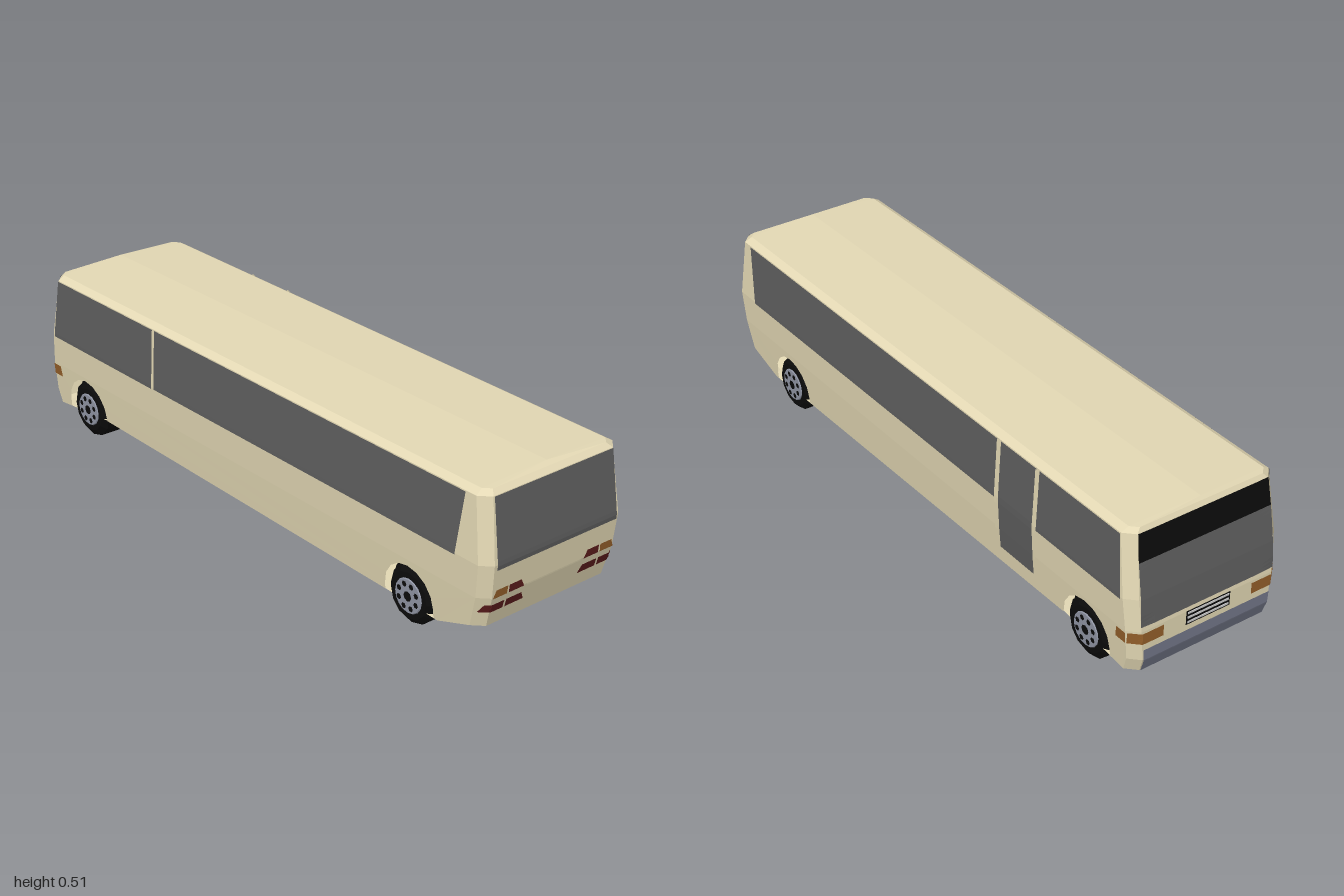
import * as THREE from 'three';

const paint = (color, extra = {}) => new THREE.MeshStandardMaterial({ color, flatShading: true, side: THREE.DoubleSide, ...extra });

// Hull levels: height, front x, rear x, half width, corner chamfer
const LEVELS = [
  { y: 0.06, f: -0.985, r: 0.84, z: 0.24, c: 0.03 },
  { y: 0.105, f: -1, r: 0.965, z: 0.244, c: 0.03 },
  { y: 0.2, f: -1, r: 0.99, z: 0.252, c: 0.03 },
  { y: 0.3, f: -0.99, r: 1, z: 0.257, c: 0.03 },
  { y: 0.486, f: -0.96, r: 0.975, z: 0.247, c: 0.03 },
  { y: 0.499, f: -0.953, r: 0.96, z: 0.225, c: 0.02 },
  { y: 0.508, f: -0.945, r: 0.945, z: 0, c: 0 },
];
const WHEELS = [{ x: -0.8, r: 0.09 }, { x: 0.7, r: 0.086 }];
// Underside: x, y, half width
const FLOOR = [[-0.985, 0.06, 0.21], [-0.955, 0.06, 0.24], [-0.9, 0.066, 0.24], [-0.7, 0.085, 0.24],
  [0.605, 0.066, 0.24], [0.795, 0.06, 0.24], [0.81, 0.06, 0.24], [0.84, 0.06, 0.21]];

function section(y) {
  let i = 0;
  while (i < LEVELS.length - 2 && y > LEVELS[i + 1].y) i++;
  const a = LEVELS[i], b = LEVELS[i + 1], t = (y - a.y) / (b.y - a.y), s = {};
  for (const k in a) s[k] = THREE.MathUtils.lerp(a[k], b[k], t);
  return s;
}

// Points on the hull, lifted slightly: on the ends (u = z) or the sides (u = x)
const onEnd = (dir, lift = 0.003) => (u, y) => {
  const s = section(y);
  const cut = Math.max(0, Math.abs(u) - (s.z - s.c));
  return [dir > 0 ? s.r - cut + lift : s.f + cut - lift, y, u];
};
const onSide = (dir, lift = 0.002) => (u, y) => [u, y, dir * (section(y).z + lift)];

function fromTriangles(points, index) {
  const g = new THREE.BufferGeometry();
  g.setAttribute('position', new THREE.Float32BufferAttribute(points.flat(), 3));
  g.setIndex(index);
  g.computeVertexNormals();
  return g;
}

// Thin four-sided panel that follows the hull; edges given as [u0, u1, y]
function panel(place, low, high) {
  const g = new THREE.PlaneGeometry(1, 1, 10, 16), p = g.attributes.position, lerp = THREE.MathUtils.lerp;
  for (let i = 0; i < p.count; i++) {
    const a = p.getX(i) + 0.5, t = p.getY(i) + 0.5;
    const u = lerp(lerp(low[0], low[1], a), lerp(high[0], high[1], a), t);
    p.setXYZ(i, ...place(u, lerp(low[2], high[2], t)));
  }
  g.computeVertexNormals();
  return g;
}

function shellGeometry() {
  const pts = [], idx = [];
  for (const { y, f, r, z, c } of LEVELS) {
    pts.push([f + c, y, z], [r - c, y, z], [r, y, z - c], [r, y, c - z],
      [r - c, y, -z], [f + c, y, -z], [f, y, c - z], [f, y, z - c]);
  }
  for (let l = 0; l < LEVELS.length - 1; l++) {
    for (let i = 0; i < 8; i++) {
      if (l < 2 && i % 4 === 0) continue; // lower sides carry the wheel arches
      const a = l * 8 + i, b = l * 8 + (i + 1) % 8;
      idx.push(a, b, b + 8, a, b + 8, a + 8);
    }
  }
  return fromTriangles(pts, idx);
}

function floorGeometry() {
  const pts = [], idx = [];
  FLOOR.forEach(([x, y, z], i) => {
    pts.push([x, y, z], [x, y, -z]);
    if (i) idx.push(2 * i - 2, 2 * i - 1, 2 * i + 1, 2 * i - 2, 2 * i + 1, 2 * i);
  });
  return fromTriangles(pts, idx);
}

// Lower side skin with two arch cut-outs
function skirtGeometry(dir) {
  const pts = [];
  const corner = (l, end) => pts.push(new THREE.Vector2(end > 0 ? l.r - l.c : l.f + l.c, l.y));
  const floor = (i) => pts.push(new THREE.Vector2(FLOOR[i][0], FLOOR[i][1]));
  floor(1);
  WHEELS.forEach(({ x, r }, w) => {
    floor(2 + 2 * w);
    for (let i = 0; i <= 8; i++) {
      const a = Math.PI * (1 - i / 8), R = r + 0.009;
      pts.push(new THREE.Vector2(x + R * Math.cos(a), r + R * Math.sin(a)));
    }
    floor(3 + 2 * w);
  });
  corner(LEVELS[0], 1); corner(LEVELS[1], 1); corner(LEVELS[2], 1);
  corner(LEVELS[2], -1); corner(LEVELS[1], -1);
  const g = new THREE.ShapeGeometry(new THREE.Shape(pts)), p = g.attributes.position;
  const place = onSide(dir, 0);
  for (let i = 0; i < p.count; i++) p.setXYZ(i, ...place(p.getX(i), p.getY(i)));
  g.computeVertexNormals();
  return g;
}

export function createModel() {
  const model = new THREE.Group();
  const cream = paint(0xe3d8b4), glass = paint(0x5e5e5e), black = paint(0x0b0b0b), grey = paint(0x8f94a3);
  const red = paint(0x5c1c1c), amber = paint(0x95602a), bumper = paint(0x74788a), white = paint(0xe0e0e0);
  const add = (name, geometry, material, parent = model) => {
    const m = new THREE.Mesh(geometry, material);
    m.name = name;
    parent.add(m);
    return m;
  };

  // Body
  add('bodyShell', shellGeometry(), cream);
  add('floor', floorGeometry(), cream);
  for (const s of [1, -1]) add('lowerSide', skirtGeometry(s), cream);

  // Side glazing
  const left = onSide(1), right = onSide(-1);
  add('frontSideWindow', panel(left, [-0.952, -0.433, 0.295], [-0.93, -0.433, 0.484]), glass);
  add('longSideWindow', panel(left, [-0.422, 0.885, 0.297], [-0.422, 0.908, 0.484]), glass);
  add('frontSideWindow', panel(right, [-0.952, -0.592, 0.295], [-0.93, -0.592, 0.484]), glass);
  add('longSideWindow', panel(right, [-0.405, 0.885, 0.297], [-0.405, 0.908, 0.484]), glass);
  add('door', panel(right, [-0.578, -0.42, 0.135], [-0.578, -0.42, 0.484]), glass);
  for (const x of [-0.585, -0.4125]) {
    add('doorPost', panel(onSide(-1, 0.006), [x - 0.006, x + 0.006, 0.13], [x - 0.006, x + 0.006, 0.486]), cream);
  }

  // Front end
  const front = onEnd(-1), rear = onEnd(1);
  add('windscreen', panel(front, [-0.225, 0.225, 0.215], [-0.222, 0.222, 0.405]), glass);
  add('destinationPanel', panel(front, [-0.222, 0.222, 0.405], [-0.217, 0.217, 0.487]), black);
  add('frontBumper', panel(front, [-0.21, 0.21, 0.062], [-0.215, 0.215, 0.14]), bumper);
  add('grille', panel(front, [-0.075, 0.075, 0.158], [-0.075, 0.075, 0.203]), black);
  for (const y of [0.166, 0.181, 0.196]) {
    add('grilleSlat', new THREE.BoxGeometry(0.006, 0.006, 0.14), white).position.set(-1.0 , y, 0);
    model.children.at(-1).position.x += -0.002;
  }
  for (const s of [1, -1]) {
    add('frontLamp', panel(front, [s * 0.15, s * 0.249, 0.16], [s * 0.15, s * 0.249, 0.195]), amber);
    add('sideLamp', panel(onSide(s), [-0.971, -0.93, 0.16], [-0.971, -0.935, 0.195]), amber);
  }

  // Rear end
  add('rearWindow', panel(rear, [-0.219, 0.219, 0.285], [-0.215, 0.215, 0.486]), glass);
  add('plateRecess', panel(rear, [-0.08, 0.08, 0.152], [-0.11, 0.11, 0.225]), cream);
  const lamps = [
    ['indicator', amber, [0.222, 0.172, 0.199], [0.212, 0.17, 0.223]],
    ['upperTailLamp', red, [0.165, 0.11, 0.199], [0.165, 0.122, 0.223]],
    ['outerTailLamp', red, [0.242, 0.174, 0.153], [0.233, 0.174, 0.178]],
    ['innerTailLamp', red, [0.167, 0.1, 0.153], [0.167, 0.113, 0.178]],
  ];
  for (const s of [1, -1]) {
    for (const [name, mat, low, high] of lamps) {
      add(name, panel(rear, [s * low[0], s * low[1], low[2]], [s * high[0], s * high[1], high[2]]), mat);
    }
  }

  // Wheels with dark arch linings
  for (const { x, r } of WHEELS) {
    for (const s of [1, -1]) {
      const wheel = new THREE.Group();
      wheel.name = 'wheel';
      wheel.position.set(x, r, s * 0.187);
      if (s < 0) wheel.rotation.y = Math.PI;
      model.add(wheel);
      const profile = [[0, -0.056], [0.07, -0.056], [r, -0.042], [r, 0.042], [0.07, 0.056], [0, 0.056]];
      add('tyre', new THREE.LatheGeometry(profile.map((p) => new THREE.Vector2(...p)), 12), black, wheel).rotation.x = Math.PI / 2;
      const hub = add('hub', new THREE.CylinderGeometry(0.05, 0.055, 0.006, 16), grey, wheel);
      hub.rotation.x = Math.PI / 2;
      hub.position.z = 0.056;
      for (let i = 0; i < 8; i++) {
        const a = (i + 0.5) * Math.PI / 4;
        add('hubHole', new THREE.CircleGeometry(0.009, 6), black, wheel).position.set(0.036 * Math.cos(a), 0.036 * Math.sin(a), 0.0605);
      }
      add('hubCap', new THREE.CircleGeometry(0.015, 8), black, wheel).position.z = 0.0605;
      const lining = add('archLining', new THREE.CylinderGeometry(r + 0.014, r + 0.014, 0.06, 16, 1, false, Math.PI / 2, Math.PI), black);
      lining.rotation.x = Math.PI / 2;
      lining.rotation.order = 'XYZ';
      lining.position.set(x, r, s * 0.175);
    }
  }
  return model;
}
